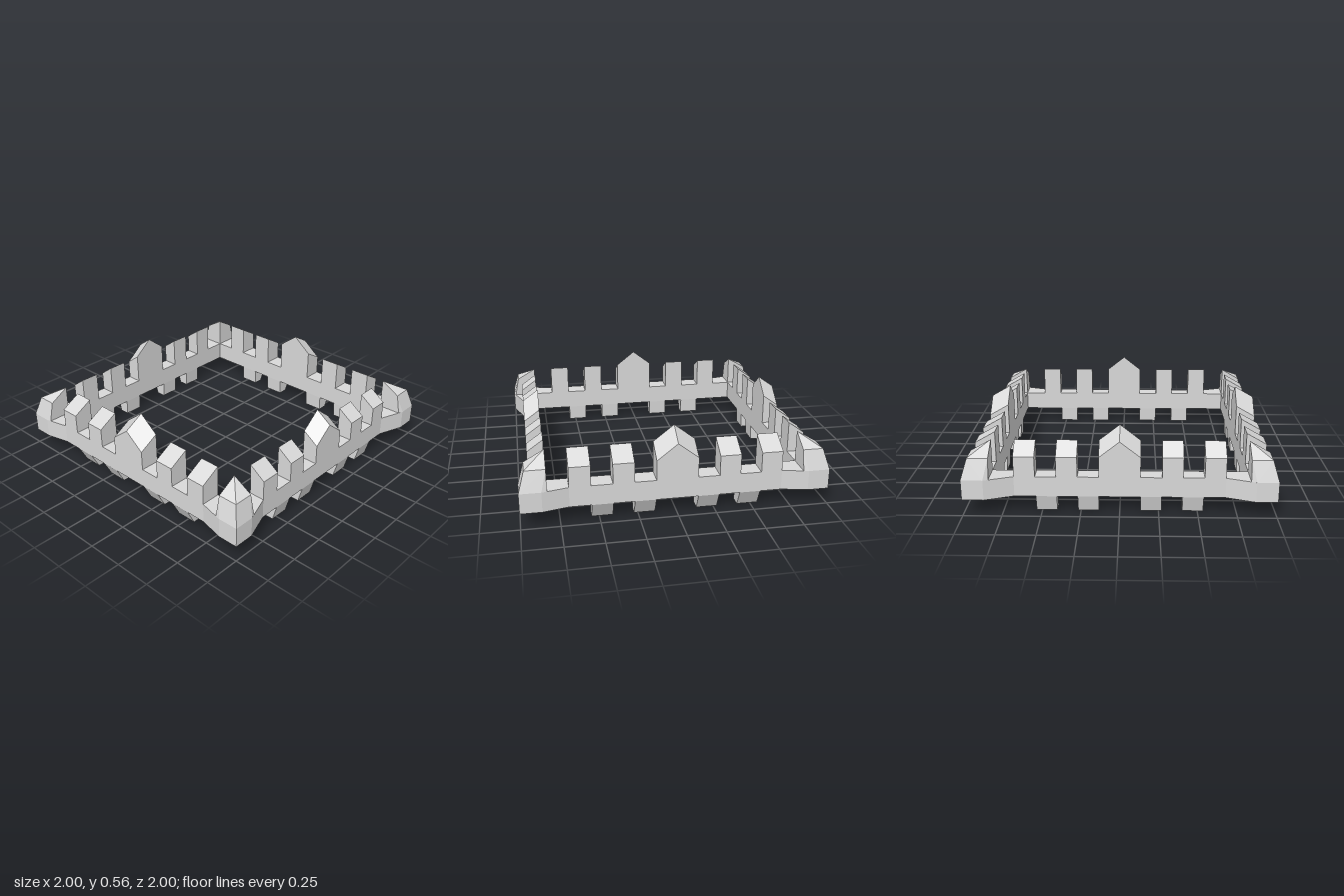
import * as THREE from 'three';
import { ConvexGeometry } from 'three/addons/geometries/ConvexGeometry.js';

const IN = 0.826;          // inner face of every wall
const Y0 = 0.11, Y1 = 0.245; // bottom and top of the wall band
const EAVE = 0.38, TOP = 0.457; // outer and inner height of the merlons

export function createModel() {
  const model = new THREE.Group();
  model.name = 'battlementRing';
  const stone = new THREE.MeshStandardMaterial({ color: 0xd9d9d9, flatShading: true });
  stone.name = 'stone grey';

  const add = (parent, name, geometry) => {
    const mesh = new THREE.Mesh(geometry, stone);
    mesh.name = name;
    parent.add(mesh);
  };
  const solid = (pts) => new ConvexGeometry(pts.map((p) => new THREE.Vector3(...p)));
  const toPoints = (pts) => pts.map(([x, y]) => new THREE.Vector2(x, y));

  // Wall band: square frame flaring out at the corners (outline counter-clockwise, hole clockwise)
  const outline = new THREE.Shape(toPoints([
    [-0.69, 0.96], [-0.86, 1], [-1, 1], [-1, 0.86], [-0.934, 0.675],
    [-0.934, -0.675], [-1, -0.86], [-1, -1], [-0.86, -1], [-0.69, -0.96],
    [0.69, -0.96], [0.86, -1], [1, -1], [1, -0.86], [0.934, -0.675],
    [0.934, 0.675], [1, 0.86], [1, 1], [0.86, 1], [0.69, 0.96],
  ]));
  outline.holes.push(new THREE.Path(toPoints([[-IN, -IN], [-IN, IN], [IN, IN], [IN, -IN]])));
  const band = new THREE.ExtrudeGeometry(outline, { depth: Y1 - Y0, bevelEnabled: false });
  band.rotateX(-Math.PI / 2).translate(0, Y0, 0);
  add(model, 'wallBand', band);

  // Merlons, central gable and lower brackets of one wall, facing +z locally
  function wall(name, out, unit, angle) {
    const group = new THREE.Group();
    group.name = name;
    group.rotation.y = angle;
    model.add(group);

    // corner points of a merlon whose top slopes down towards the outside
    const merlon = (x0, x1) => [x0, x1].flatMap((x) =>
      [[x, Y1, IN], [x, Y1, out], [x, EAVE, out], [x, TOP, IN]]);

    add(group, 'centralGable', solid([...merlon(-unit, unit), [0, 0.486, out], [0, 0.563, IN]]));

    for (const side of [-1, 1]) {
      for (const k of [2, 4]) {
        const step = unit * side * 1.015;
        add(group, 'merlon', solid(merlon(k * step, (k + 1) * step)));
      }
      // brackets taper inwards towards the ground
      for (const k of [1, 3]) {
        const step = unit * side * 1.01;
        add(group, 'bracket', solid([k * step, (k + 1) * step].flatMap((x) =>
          [[x, Y0, IN], [x, Y0, out], [x, 0, 0.903], [x, 0, IN + 0.006]])));
      }
    }
  }
  wall('frontWall', 0.96, 0.136, 0);
  wall('leftWall', 0.934, 0.133, Math.PI / 2);
  wall('backWall', 0.96, 0.136, Math.PI);
  wall('rightWall', 0.934, 0.133, -Math.PI / 2);

  // Corner merlons: flared base, hipped top rising to the inner corner
  for (const sx of [-1, 1]) for (const sz of [-1, 1]) {
    add(model, 'cornerMerlon', solid([
      [IN, Y1, IN], [IN, Y1, 0.992], [0.86, Y1, 1], [1, Y1, 1], [1, Y1, 0.86], [0.987, Y1, IN],
      [IN, EAVE, 0.96], [0.96, EAVE, 0.96], [0.96, EAVE, IN], [IN, TOP, IN],
    ].map(([x, y, z]) => [x * sx, y, z * sz])));
  }
  return model;
}
